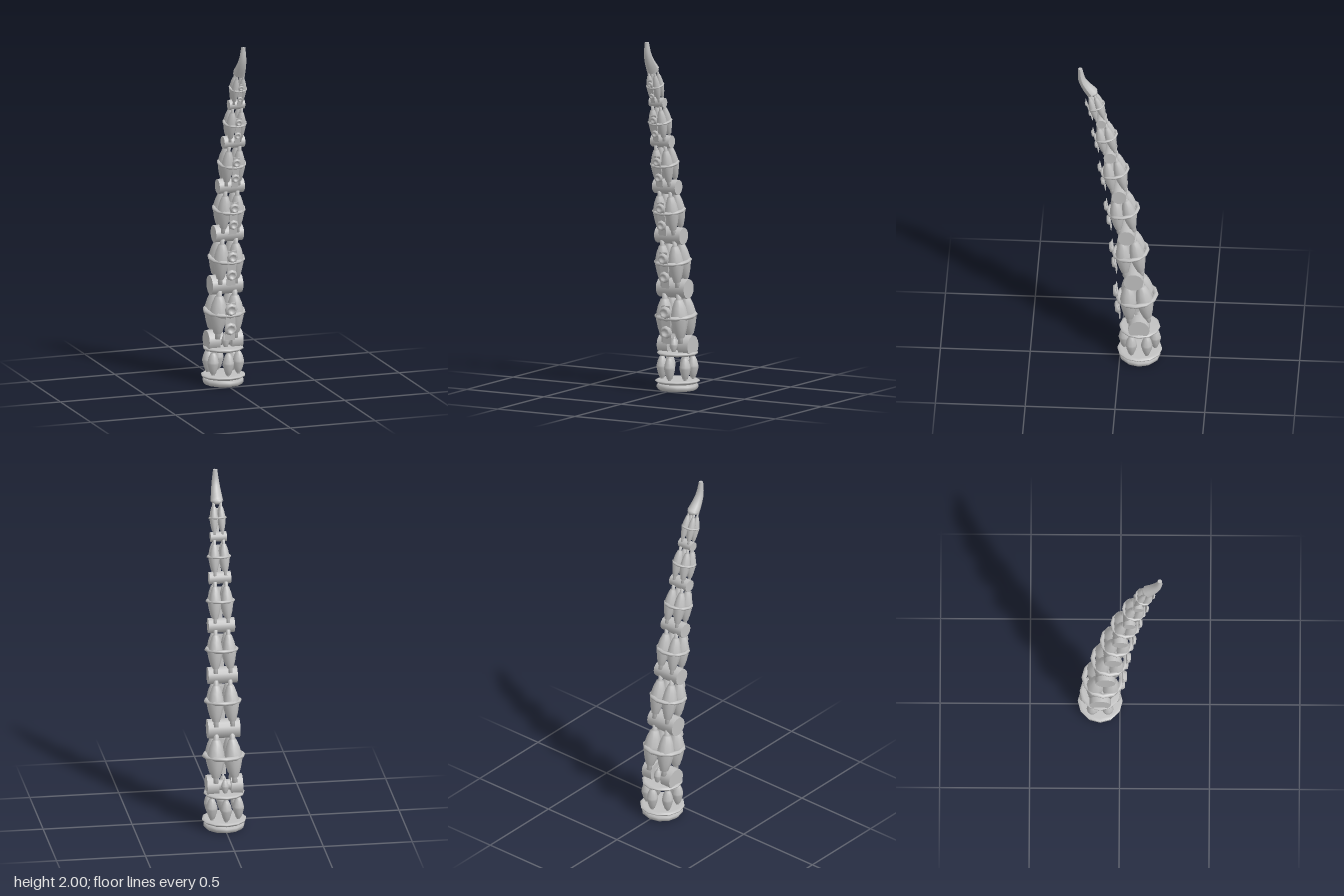
import * as THREE from 'three';

const metal = new THREE.MeshStandardMaterial({ color: 0xc0c0c0 });
metal.name = 'grey metal';

const V = (x, y, z) => new THREE.Vector3(x, y, z);
const UP = V(0, 1, 0);

function add(parent, name, geometry, x = 0, y = 0, z = 0) {
  const m = new THREE.Mesh(geometry, metal);
  m.name = name;
  m.position.set(x, y, z);
  parent.add(m);
  return m;
}

// Turned shape from [radius, height] pairs
const lathe = (pts, sides, k = 1) =>
  new THREE.LatheGeometry(pts.map(([r, y]) => new THREE.Vector2(r * k, y * k)), sides);

// Swollen actuator stretched from a to b; the profile height runs 0 to 1
const MUSCLE = [[0, 0], [0.3, 0], [0.3, 0.1], [0.46, 0.12], [0.75, 0.28], [1, 0.48],
  [0.98, 0.55], [0.78, 0.72], [0.46, 0.87], [0.3, 0.89], [0.3, 1], [0, 1]];
function muscle(parent, name, a, b, radius) {
  const len = a.distanceTo(b);
  const m = add(parent, name, lathe(MUSCLE.map(([r, t]) => [r * radius, t * len]), 10), a.x, a.y, a.z);
  m.quaternion.setFromUnitVectors(UP, b.clone().sub(a).normalize());
}

// Joint axle: position y, z, drum radius and half length
const JOINTS = [
  [0.255, -0.11, 0.06, 0.1], [0.575, -0.08, 0.055, 0.09], [0.877, -0.04, 0.048, 0.082],
  [1.157, 0.002, 0.042, 0.074], [1.42, 0.053, 0.035, 0.061], [1.645, 0.103, 0.028, 0.045],
  [1.84, 0.16, 0.03, 0.03],
];
const RING_RADIUS = [0.12, 0.106, 0.095, 0.083, 0.069, 0.052];

function drum(parent, name, x, y, z, radius, length) {
  add(parent, name, new THREE.CylinderGeometry(radius, radius, length, 14), x, y, z).rotation.z = Math.PI / 2;
}

function makeBase() {
  const g = new THREE.Group();
  g.name = 'base';
  g.position.z = -0.11;
  add(g, 'footDisc', lathe([[0, 0], [0.106, 0], [0.116, 0.012], [0.116, 0.026], [0.106, 0.038], [0, 0.038]], 12));
  add(g, 'footFlange', lathe([[0, 0.038], [0.112, 0.038], [0.125, 0.047], [0.125, 0.053], [0.108, 0.06], [0, 0.06]], 12));
  add(g, 'topFlange', lathe([[0, 0.196], [0.104, 0.196], [0.114, 0.203], [0.114, 0.21], [0.1, 0.217], [0, 0.217]], 12));
  for (let i = 0; i < 6; i++) {
    const a = i * Math.PI / 3;
    const x = Math.sin(a) * 0.086, z = Math.cos(a) * 0.086;
    muscle(g, 'basePiston', V(x, 0.05, z), V(x, 0.205, z), 0.032);
  }
  // Split hinge with a slim pin rod on either side of the gap
  for (const s of [-1, 1]) {
    drum(g, 'baseHinge', s * 0.067, 0.25, 0, 0.06, 0.066);
    muscle(g, 'hingeRod', V(0, 0.205, s * 0.045), V(0, 0.3, s * 0.035), 0.022);
  }
  drum(g, 'baseAxle', 0, 0.25, 0, 0.03, 0.1);
  return g;
}

function makeSegment(i) {
  const [y0, z0] = JOINTS[i], [y1, z1] = JOINTS[i + 1];
  const a = V(0, y0, z0), b = V(0, y1, z1);
  const L = a.distanceTo(b), s = RING_RADIUS[i];
  const g = new THREE.Group();
  g.name = 'segment' + (i + 1);
  g.position.copy(a);
  g.quaternion.setFromUnitVectors(UP, b.clone().sub(a).normalize());

  for (const sx of [-1, 1]) for (const sz of [-1, 1]) {
    muscle(g, 'muscle', V(sx * 0.44 * s, L * 0.06, sz * 0.44 * s),
      V(sx * 0.37 * s, L * 0.93, sz * 0.3 * s), 0.42 * s);
  }
  // Binding ring around the middle
  add(g, 'bindingRing', lathe([[0.76, 0], [0.83, -0.1], [0.93, -0.1], [1, -0.03], [1, 0.03],
    [0.93, 0.1], [0.83, 0.1], [0.76, 0]], 12, s), 0, L * 0.52, 0);

  // Gripping strip with two cups on the front
  const front = 0.9 * s;
  add(g, 'gripStrip', new THREE.BoxGeometry(0.48 * s, L * 0.68, 0.04 * s), 0, L * 0.42, front);
  for (const t of [0.29, 0.64]) {
    const cup = add(g, 'gripCup', lathe([[0.27, -0.04], [0.31, 0.05], [0.25, 0.17], [0.16, 0.17],
      [0.12, 0.06], [0, 0.06]], 8, s), 0, L * t, front);
    cup.rotation.x = Math.PI / 2;
  }
  return g;
}

// Curved tapering claw: a tube narrowed along its path
function makeClaw() {
  const g = new THREE.Group();
  g.name = 'claw';
  const path = new THREE.CatmullRomCurve3([V(0, 1.835, 0.155), V(0, 1.883, 0.191), V(0, 1.93, 0.213), V(0, 2, 0.222)]);
  const n = 10, sides = 8;
  const geo = new THREE.TubeGeometry(path, n, 1, sides);
  const pos = geo.attributes.position, v = V(0, 0, 0);
  for (let k = 0; k < pos.count; k++) {
    const t = Math.floor(k / (sides + 1)) / n;
    const p = path.getPointAt(t);
    v.fromBufferAttribute(pos, k).sub(p).multiplyScalar(0.036 - 0.024 * t).add(p);
    pos.setXYZ(k, v.x, Math.min(v.y, 2), v.z);
  }
  geo.computeVertexNormals();
  add(g, 'clawHorn', geo);
  add(g, 'clawTip', new THREE.CircleGeometry(0.012, sides), 0, 1.999, 0.222).rotation.x = -Math.PI / 2;
  add(g, 'clawRoot', new THREE.SphereGeometry(0.034, 10, 6), 0, 1.838, 0.157).scale.y = 0.6;
  return g;
}

export function createModel() {
  const model = new THREE.Group();
  model.name = 'mechanicalTentacle';
  model.add(makeBase());
  for (let i = 0; i < 6; i++) {
    model.add(makeSegment(i));
    const [y, z, r, half] = JOINTS[i];
    if (i > 0) drum(model, 'jointDrum', 0, y, z, r, half * 2);
  }
  model.add(makeClaw());
  return model;
}
